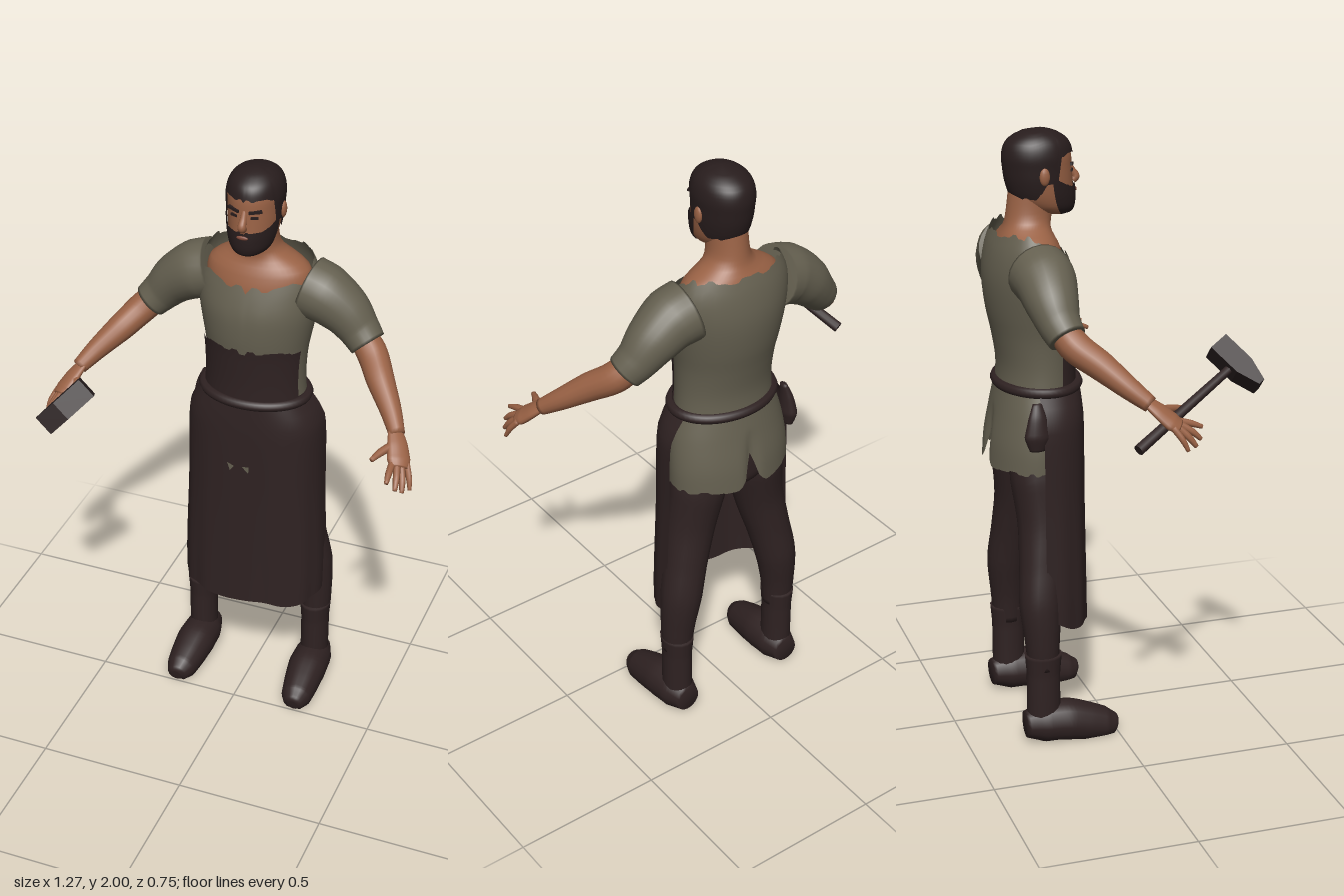
import * as THREE from 'three';
import { mergeVertices } from 'three/addons/utils/BufferGeometryUtils.js';

const mat = (name, color) => new THREE.MeshStandardMaterial({ name, color, side: THREE.DoubleSide });
const V = (x, y, z) => new THREE.Vector3(x, y, z);
const clamp = THREE.MathUtils.clamp;
// small repeatable jaggedness for torn edges, symmetric in the angle
const jag = (a, size) => {
  const s = Math.sin(Math.round(Math.abs(a) * 7) * 12.9898) * 4375.85;
  return (s - Math.floor(s) - 0.5) * 2 * size;
};

// smooth skin over a grid of points: cols run around, rows run upward
function gridGeometry(cols, rows, point) {
  const pos = [], idx = [];
  for (let j = 0; j <= rows; j++)
    for (let i = 0; i <= cols; i++) pos.push(...point(i / cols, j / rows));
  for (let j = 0; j < rows; j++)
    for (let i = 0; i < cols; i++) {
      const a = j * (cols + 1) + i, b = a + 1, c = a + cols + 1, d = c + 1;
      idx.push(a, b, d, a, d, c);
    }
  let g = new THREE.BufferGeometry();
  g.setAttribute('position', new THREE.Float32BufferAttribute(pos, 3));
  g.setIndex(idx);
  g = mergeVertices(g, 1e-5);
  g.computeVertexNormals();
  return g;
}

// profile rows are [y, half width, front z, back z]
function sample(rows, y) {
  let i = 0;
  while (i < rows.length - 2 && y > rows[i + 1][0]) i++;
  const p = rows[i], q = rows[i + 1], h = q[0] - p[0], t = clamp((y - p[0]) / h, 0, 1);
  const slope = (k, c) => {
    const a = rows[Math.max(k - 1, 0)], b = rows[Math.min(k + 1, rows.length - 1)];
    return (b[c] - a[c]) / (b[0] - a[0]) * h;
  };
  return [1, 2, 3].map(c => p[c] * (1 + 2 * t) * (1 - t) ** 2 + slope(i, c) * t * (1 - t) ** 2
    + q[c] * t * t * (3 - 2 * t) + slope(i + 1, c) * t * t * (t - 1));
}

// patch of a body profile; angle 0 is the front, lo and hi may depend on the angle
function shell(rows, { from = -Math.PI, to = Math.PI, lo, hi, grow = 1, power = 1, cols = 48, steps = 20 }) {
  const val = (f, ...args) => (typeof f === 'function' ? f(...args) : f);
  const bend = s => Math.sign(s) * Math.abs(s) ** power;
  return gridGeometry(cols, steps, (u, v) => {
    const a = from + (to - from) * u;
    const y = val(lo, a) + (val(hi, a) - val(lo, a)) * v;
    const [rx, zf, zb] = sample(rows, y), g = val(grow, a, y);
    return [rx * g * bend(Math.sin(a)), y, (zf + zb) / 2 + (zf - zb) / 2 * g * bend(Math.cos(a))];
  });
}

// rounded limb through points [x, y, z, radius], closed at both ends
function limb(pts, { ref = V(0, 0, 1), flat = 1, cols = 16, steps = pts.length * 5, floor = -1 } = {}) {
  const curve = new THREE.CatmullRomCurve3(pts.map(p => V(p[0], p[1], p[2])));
  return gridGeometry(cols, steps + 2, (u, v) => {
    const row = Math.round(v * (steps + 2)), t = clamp((row - 1) / steps, 0, 1);
    const k = Math.min(Math.floor(t * (pts.length - 1)), pts.length - 2), f = t * (pts.length - 1) - k;
    const r = row === 0 || row === steps + 2 ? 0 : THREE.MathUtils.lerp(pts[k][3], pts[k + 1][3], f);
    const T = curve.getTangent(t), c = curve.getPoint(t);
    const U = ref.clone().addScaledVector(T, -ref.dot(T)).normalize(), W = T.clone().cross(U);
    c.addScaledVector(U, r * Math.cos(u * 2 * Math.PI)).addScaledVector(W, r * flat * Math.sin(u * 2 * Math.PI));
    return [c.x, Math.max(c.y, floor), c.z];
  });
}

const TORSO = [[1.16, .174, -.085, -.335], [1.25, .168, -.085, -.33], [1.35, .172, -.08, -.345],
  [1.42, .184, -.074, -.36], [1.5, .198, -.076, -.37], [1.56, .203, -.092, -.37], [1.62, .2, -.115, -.36],
  [1.66, .185, -.135, -.348], [1.7, .165, -.155, -.33]];
const BUST = [[1.5, .165, -.115, -.34], [1.58, .178, -.118, -.345], [1.64, .168, -.135, -.33], [1.67, .13, -.15, -.317],
  [1.69, .09, -.155, -.306], [1.72, .067, -.15, -.298], [1.82, .06, -.14, -.285]];
const HEAD = [[1.72, 0, -.13, -.13], [1.728, .036, -.092, -.18], [1.745, .06, -.08, -.23], [1.78, .075, -.077, -.27],
  [1.83, .083, -.08, -.29], [1.88, .086, -.083, -.298], [1.92, .087, -.086, -.3], [1.96, .076, -.1, -.287],
  [1.985, .052, -.132, -.253], [1.996, .025, -.163, -.22], [2, 0, -.19, -.19]];
const TAIL = [[.9, .214, -.1, -.378], [1, .213, -.1, -.37], [1.1, .2, -.09, -.352], [1.19, .174, -.085, -.335]];
const HIPS = [[.86, 0, -.24, -.24], [.89, .12, -.15, -.32], [.96, .19, -.12, -.34], [1.12, .17, -.12, -.33]];
const APRON = [[.37, .25, -.062, -.428], [.5, .251, -.064, -.426], [.8, .24, -.067, -.423], [1.07, .234, -.068, -.422],
  [1.12, .222, -.07, -.42], [1.18, .18, -.074, -.416]];

export function createModel() {
  const skin = mat('skin', 0x9a6245), cloth = mat('olive cloth', 0x656050), leather = mat('dark leather', 0x2f2222);
  const hair = mat('hair', 0x281d1d), lipColor = mat('lips', 0x80493a), iron = mat('dark iron', 0x2b2121);
  const model = new THREE.Group();
  model.name = 'blacksmith';
  const add = (name, geometry, material, parent = model) => {
    const m = new THREE.Mesh(geometry, material);
    m.name = name;
    parent.add(m);
    return m;
  };

  // torso and clothing
  add('neckAndChest', shell(BUST, { lo: 1.5, hi: 1.82 }), skin);
  add('shirt', shell(TORSO, { lo: 1.16, cols: 72,
    hi: a => 1.595 + .09 * Math.min(1, (1 - Math.cos(a)) * .85) + jag(a, .011) }), cloth);
  const cleft = a => Math.exp(-(((Math.PI - Math.abs(a)) / .1) ** 2));
  add('shirtTail', shell(TAIL, { cols: 96, lo: a => .925 + .11 * cleft(a) + jag(a, .008), hi: 1.18,
    grow: (a, y) => 1 - .12 * cleft(a) * clamp((1.12 - y) * 10, 0, 1) }), cloth);
  add('trouserSeat', shell(HIPS, { lo: .86, hi: 1.12 }), leather);
  add('apronBib', shell(TORSO, { from: -1.2, to: 1.2, lo: 1.17, hi: a => 1.383 + jag(a, .008),
    grow: 1.035 }), leather);
  add('apronSkirt', shell(APRON, { from: -Math.PI / 2, to: Math.PI / 2, power: .75, cols: 64, hi: 1.18,
    lo: a => .383 + .045 * (Math.abs(a) / 1.571) ** 4 + .006 * Math.sin(a * 7),
    grow: (a, y) => 1 + .012 * Math.cos(a * 14) * clamp(1.1 - y, 0, 1) }), leather);
  for (const [x, turn] of [[-.035, .3], [.022, .8]]) {
    const tear = add('apronTear', new THREE.CircleGeometry(.019, 3), cloth);
    tear.position.set(x, .943, -.057);
    tear.rotation.z = turn;
    tear.scale.x = .7;
  }
  const loop = [];
  for (let i = 0; i < 24; i++) {
    const a = i / 24 * 2 * Math.PI;
    loop.push(V(.178 * Math.sin(a), 1.185, -.203 + .128 * Math.cos(a)));
  }
  add('belt', new THREE.TubeGeometry(new THREE.CatmullRomCurve3(loop, true), 64, .017, 8, true), leather);
  add('beltPouch', limb([[-.205, 1.165, -.26, .015], [-.215, 1.12, -.262, .03], [-.22, 1.06, -.265, .042],
    [-.22, 1.015, -.265, .025]], { flat: .6 }), leather);

  // head
  const head = new THREE.Group();
  head.name = 'head';
  model.add(head);
  add('face', shell(HEAD, { lo: 1.725, hi: 1.965 }), skin, head);
  add('hair', shell(HEAD, { cols: 72, hi: 2, grow: 1.06, lo: a => {
    const b = Math.abs(a);
    return 1.922 - .09 * clamp((b - 1.05) / .2, 0, 1) - .045 * clamp((b - 1.6) / .3, 0, 1) + jag(a, .005);
  } }), hair, head);
  add('beard', shell(HEAD, { from: -1.4, to: 1.4, lo: 1.72, grow: 1.07,
    hi: a => 1.817 + .035 * clamp((Math.abs(a) - .7) / .6, 0, 1) + jag(a, .003) }), hair, head);
  add('nose', limb([[0, 1.888, -.092, .008], [0, 1.86, -.08, .011], [0, 1.838, -.068, .014], [0, 1.826, -.078, .013]]),
    skin, head);
  const lips = add('lips', new THREE.SphereGeometry(1, 12, 8), lipColor, head);
  lips.scale.set(.02, .007, .005);
  lips.position.set(0, 1.8, -.071);
  for (const s of [-1, 1]) {
    const brow = add('brow', new THREE.BoxGeometry(.042, .009, .009), hair, head);
    brow.position.set(s * .036, 1.886, -.091);
    brow.rotation.set(0, s * .35, s * .12);
    const eye = add('eye', new THREE.BoxGeometry(.024, .008, .006), hair, head);
    eye.position.set(s * .034, 1.866, -.09);
    eye.rotation.y = s * .35;
    const ear = add('ear', new THREE.SphereGeometry(1, 12, 8), skin, head);
    ear.scale.set(.01, .028, .017);
    ear.position.set(s * .091, 1.86, -.195);
  }

  // arms and legs, mirrored
  for (const s of [-1, 1]) {
    const side = s > 0 ? 'left' : 'right';
    const m = pts => pts.map(([x, y, z, r]) => [s * x, y, z, r]);
    add(side + 'Sleeve', limb(m([[.165, 1.578, -.24, .1], [.22, 1.562, -.235, .098], [.29, 1.515, -.235, .084],
      [.34, 1.462, -.228, .068], [.378, 1.422, -.213, .06]]), { cols: 24 }), cloth);
    add(side + 'Forearm', limb(m([[.33, 1.47, -.23, .045], [.395, 1.405, -.198, .051], [.45, 1.35, -.13, .046],
      [.51, 1.29, -.06, .035], [.55, 1.245, -.005, .026]])), skin);
    add(side + 'Palm', limb(m([[.54, 1.255, -.015, .024], [.56, 1.225, .02, .035], [.577, 1.193, .055, .04],
      [.585, 1.178, .078, .03]]), { ref: V(s * .7, -.1, -.7), flat: .5 }), skin);
    const fingers = {
      Thumb: [[.55, 1.225, .025, .014], [.522, 1.217, .07, .013], [.505, 1.21, .112, .008]],
      IndexFinger: [[.563, 1.19, .075, .012], [.566, 1.178, .12, .011], [.57, 1.165, .155, .007]],
      MiddleFinger: [[.578, 1.185, .075, .012], [.59, 1.16, .115, .011], [.595, 1.135, .142, .007]],
      RingFinger: [[.59, 1.18, .067, .012], [.605, 1.147, .1, .011], [.612, 1.118, .122, .007]],
      LittleFinger: [[.602, 1.182, .05, .011], [.62, 1.145, .075, .01], [.628, 1.112, .09, .006]],
    };
    for (const [name, pts] of Object.entries(fingers))
      add(side + name, limb(m(pts), { ref: V(0, 1, 0), cols: 8, steps: 8 }), skin);
    add(side + 'TrouserLeg', limb(m([[.1, .98, -.235, .09], [.115, .88, -.23, .094], [.14, .74, -.225, .084],
      [.172, .6, -.24, .074], [.197, .48, -.253, .07], [.21, .36, -.252, .058], [.213, .26, -.25, .05]])), leather);
    add(side + 'BootShaft', limb(m([[.213, .31, -.25, .062], [.213, .24, -.25, .056], [.213, .15, -.25, .056],
      [.212, .06, -.25, .056]]), { flat: .86 }), leather);
    add(side + 'BootFoot', limb(m([[.21, .06, -.312, .045], [.212, .062, -.25, .068], [.214, .058, -.17, .072],
      [.217, .042, -.1, .065], [.22, .028, -.04, .055], [.222, .024, -.008, .036], [.222, .022, 0, .02]]),
      { ref: V(0, 1, 0), flat: .95, floor: 0 }), leather);
  }

  // hammer held in the right hand
  const hammer = new THREE.Group();
  hammer.name = 'hammer';
  model.add(hammer);
  const butt = V(-.6, 1.122, -.06), top = V(-.438, 1.322, .325);
  const up = top.clone().sub(butt).normalize();
  const handle = add('hammerHandle', new THREE.CylinderGeometry(.014, .018, butt.distanceTo(top), 10), leather, hammer);
  handle.position.copy(butt).lerp(top, .5);
  handle.quaternion.setFromUnitVectors(V(0, 1, 0), up);
  const axis = V(-.1, -.1, .13);
  axis.addScaledVector(up, -axis.dot(up)).normalize();
  const outline = new THREE.Shape([[-.08, -.035], [.03, -.035], [.105, -.012], [.105, .012], [.03, .035], [-.08, .035]]
    .map(p => new THREE.Vector2(...p)));
  const block = new THREE.ExtrudeGeometry(outline, { depth: .07, bevelEnabled: false }).translate(0, 0, -.035);
  const hammerHead = add('hammerHead', block, iron, hammer);
  hammerHead.quaternion.setFromRotationMatrix(new THREE.Matrix4().makeBasis(axis, up, axis.clone().cross(up)));
  hammerHead.position.set(-.44, 1.314, .308);
  return model;
}
